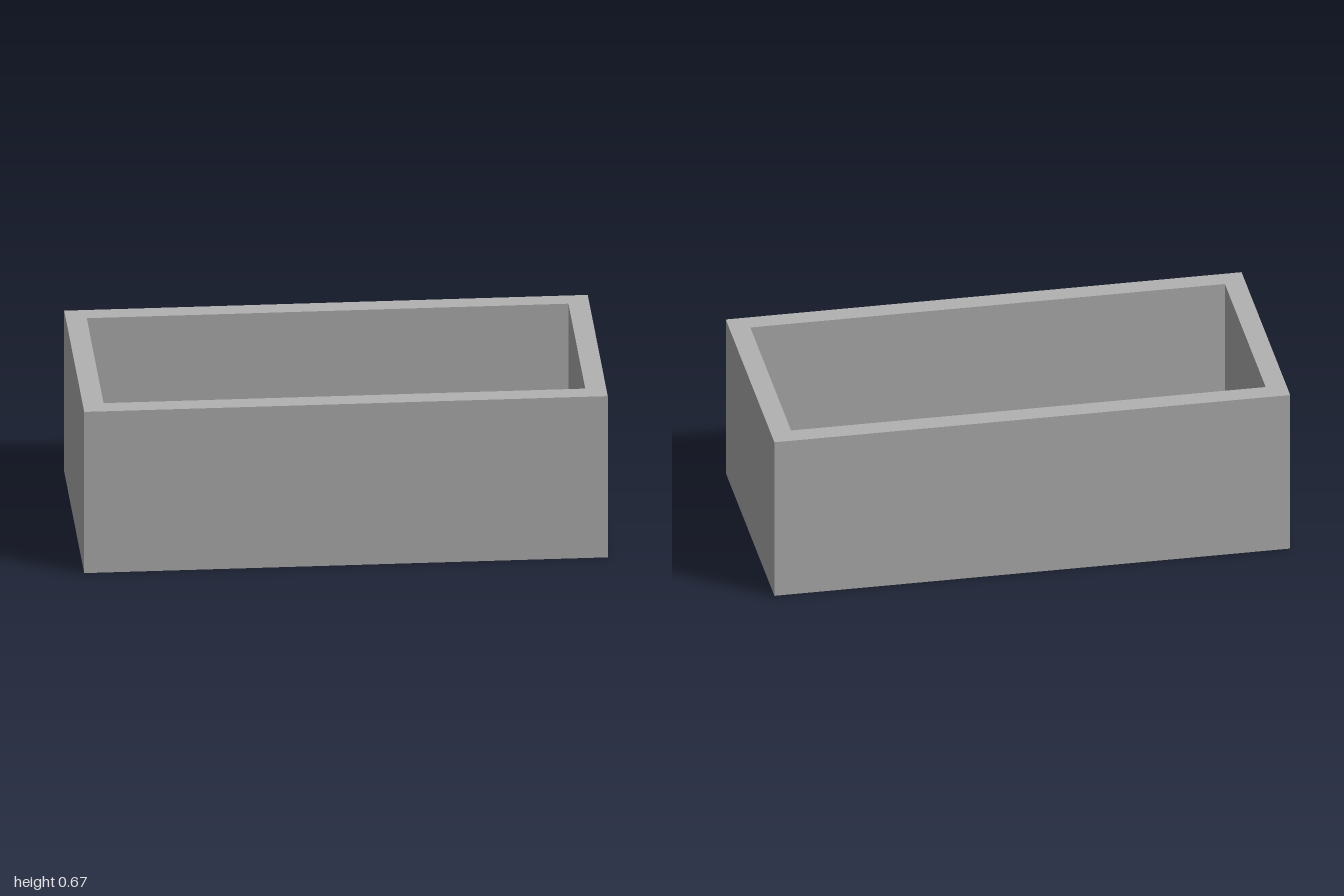
import * as THREE from 'three';

const HX = 1, HZ = 0.495, H = 0.667;      // outer half sizes and height
const WALL = 0.08, FLOOR = 0.08;          // wall and floor thickness
const HOLE_R = 0.05, HOLE_D = 0.034;      // blind holes under the floor
const HOLES_X = [-0.1, -0.3, -0.5, -0.7];

export function createModel() {
  const group = new THREE.Group();
  const grey = new THREE.MeshStandardMaterial({ color: 0xb2b2b2 });

  const add = (name, geometry) => {
    const mesh = new THREE.Mesh(geometry, grey);
    mesh.name = name;
    group.add(mesh);
    return mesh;
  };

  // Rectangle outline centred on the origin
  const rect = (hx, hz, Type) => new Type([[-hx, -hz], [hx, -hz], [hx, hz], [-hx, hz]]
    .map(([x, z]) => new THREE.Vector2(x, z)));

  // Four upright faces around a rectangle, facing outward or inward
  const addWalls = (name, hx, hz, y0, y1, inward) => {
    for (let k = 0; k < 4; k++) {
      const [half, dist] = k % 2 ? [hz, hx] : [hx, hz];
      const g = new THREE.PlaneGeometry(half * 2, y1 - y0);
      if (inward) g.rotateY(Math.PI);
      g.translate(0, (y0 + y1) / 2, dist).rotateY(k * Math.PI / 2);
      add(name, g);
    }
  };

  const ix = HX - WALL, iz = HZ - WALL;
  addWalls('outerWall', HX, HZ, 0, H, false);
  addWalls('innerWall', ix, iz, FLOOR, H, true);

  // Flat rim around the opening
  const rim = rect(HX, HZ, THREE.Shape);
  rim.holes.push(rect(ix, iz, THREE.Path));
  add('rim', new THREE.ShapeGeometry(rim).rotateX(-Math.PI / 2).translate(0, H, 0));

  // Inside floor
  add('floor', new THREE.PlaneGeometry(ix * 2, iz * 2).rotateX(-Math.PI / 2).translate(0, FLOOR, 0));

  // Underside with a row of round openings
  const base = rect(HX, HZ, THREE.Shape);
  for (const x of HOLES_X) {
    base.holes.push(new THREE.Path().absarc(x, 0, HOLE_R, 0, Math.PI * 2, true));
  }
  add('underside', new THREE.ShapeGeometry(base, 16).rotateX(Math.PI / 2));

  // Sides and end of each blind hole
  const side = [new THREE.Vector2(HOLE_R, HOLE_D), new THREE.Vector2(HOLE_R, 0)];
  for (const x of HOLES_X) {
    add('holeSide', new THREE.LatheGeometry(side, 32)).position.x = x;
    add('holeEnd', new THREE.CircleGeometry(HOLE_R, 32).rotateX(Math.PI / 2)).position.set(x, HOLE_D, 0);
  }
  return group;
}
